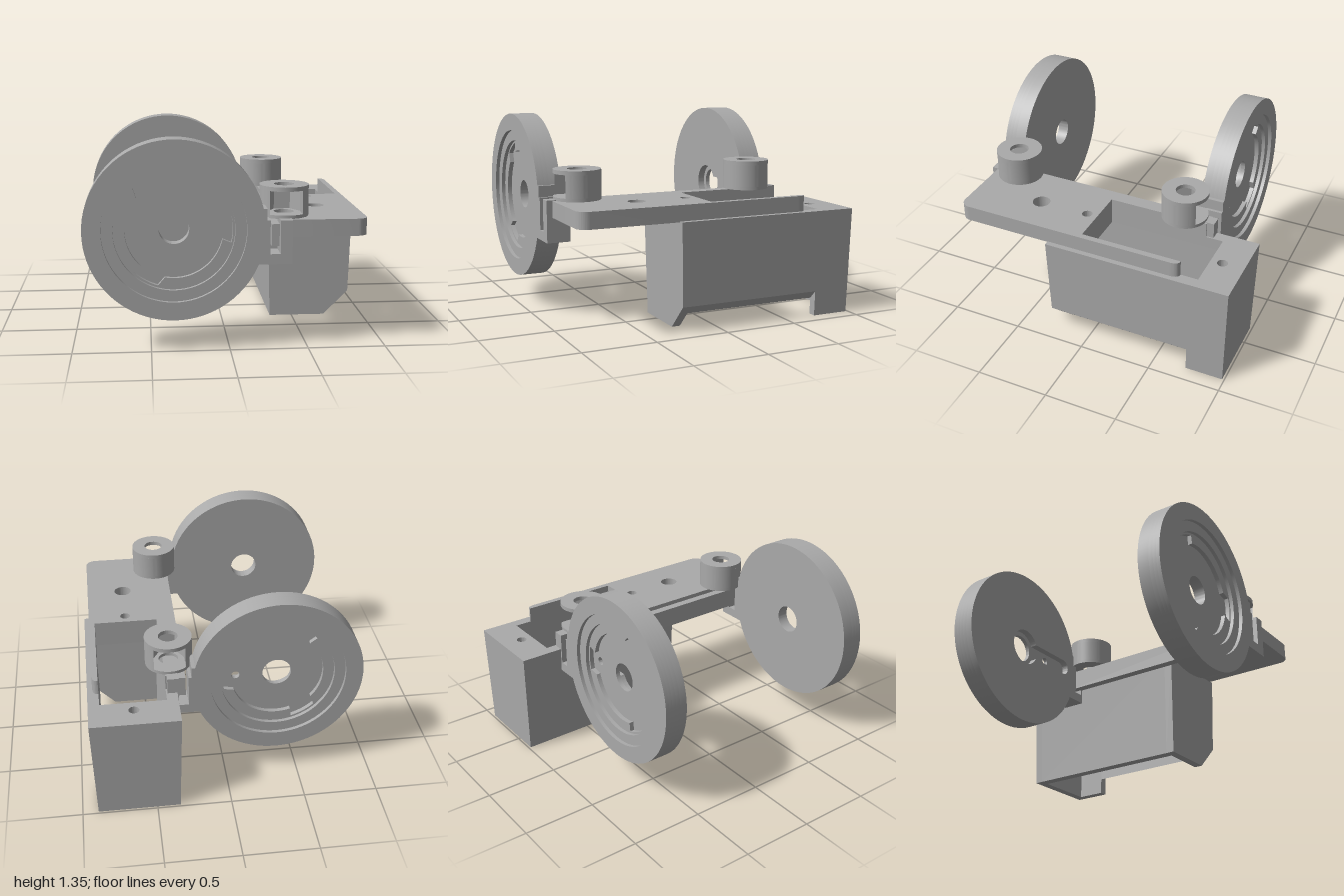
import * as THREE from 'three';
import { toCreasedNormals } from 'three/addons/utils/BufferGeometryUtils.js';

const gray = new THREE.MeshStandardMaterial({ color: 0xaaaaaa });
gray.name = 'plain gray';

function polygon(points) {
  return new THREE.Shape(points.map(([x, y]) => new THREE.Vector2(x, y)));
}

function circle(x, y, r, Type = THREE.Path) {
  const path = new Type();
  path.absarc(x, y, r, 0, Math.PI * 2, false);
  return path;
}

function rectangle(x0, y0, x1, y1) {
  return polygon([[x0, y0], [x1, y0], [x1, y1], [x0, y1]]);
}

// Extrude along z, starting at z0
function extrude(shape, z0, depth, holes = []) {
  shape.holes.push(...holes);
  const g = new THREE.ExtrudeGeometry(shape, { depth, bevelEnabled: false, curveSegments: 40 });
  g.translate(0, 0, z0);
  return g;
}

// Extrude upward from y0; the shape is drawn in (x, -z)
function extrudeUp(shape, y0, height, holes = []) {
  return extrude(shape, 0, height, holes).rotateX(-Math.PI / 2).translate(0, y0, 0);
}

function add(parent, name, geometry) {
  const mesh = new THREE.Mesh(toCreasedNormals(geometry, 0.4), gray);
  mesh.name = name;
  parent.add(mesh);
  return mesh;
}

// Bayonet opening: a circle with three wider notches
function bayonetOpening() {
  const path = new THREE.Path();
  for (let i = 0; i < 3; i++) {
    const a = i * Math.PI * 2 / 3;
    path.absarc(0, 0, 0.37, a - 0.24, a + 0.24, false);
    path.absarc(0, 0, 0.31, a + 0.33, a + Math.PI * 2 / 3 - 0.21, false);
  }
  path.closePath();
  return path;
}

// Keyhole recess: round pocket joined to a narrow channel
function keyhole() {
  const path = new THREE.Path();
  path.absarc(0, 0, 0.13, 0.45, Math.PI * 2 - 0.45, false);
  path.lineTo(0.44, -0.056);
  path.absarc(0.44, 0, 0.056, -Math.PI / 2, Math.PI / 2, false);
  path.closePath();
  return path;
}

// Stepped disc, its recess open toward +z
function createDisc(name, withChannel) {
  const group = new THREE.Group();
  group.name = name;
  const R = 0.572;
  const layer = (label, z0, z1, holes) =>
    add(group, label, extrude(circle(0, 0, R, THREE.Shape), z0, z1 - z0, holes));
  if (withChannel) {
    layer('channelLayer', 0, 0.05, [keyhole()]);
    layer('discBase', 0.05, 0.08, [circle(0, 0, 0.097), circle(0.28, 0, 0.028)]);
  } else {
    layer('discBase', 0, 0.08, [circle(0, 0, 0.097)]);
  }
  layer('bayonetLip', 0.08, 0.11, [bayonetOpening()]);
  layer('innerStep', 0.11, 0.135, [circle(0, 0, 0.383)]);
  layer('outerRim', 0.135, 0.16, [circle(0, 0, 0.455)]);
  return group;
}

// Screw boss with a nut slot open toward +z
function createBoss(name) {
  const group = new THREE.Group();
  group.name = name;
  const r = 0.158, h = 0.105, a = Math.asin(h / r);
  const ring = () => circle(0, 0, r, THREE.Shape);
  add(group, 'bossFloor', extrudeUp(ring(), 0.83, 0.022, [circle(0, 0, 0.065)]));
  add(group, 'bossCap', extrudeUp(ring(), 1.003, 0.027, [circle(0, 0, 0.065)]));
  const wall = new THREE.Shape();
  wall.absarc(0, 0, r, -Math.PI / 2 + a, Math.PI * 1.5 - a, false);
  wall.lineTo(-h, 0);
  wall.lineTo(-h / 2, 0.091);
  wall.lineTo(h / 2, 0.091);
  wall.lineTo(h, 0);
  add(group, 'nutSlotWall', extrudeUp(wall, 0.852, 0.151));
  return group;
}

// Narrow the housing slightly toward its base
function taper(g) {
  const p = g.attributes.position;
  for (let i = 0; i < p.count; i++) {
    const t = 1 - p.getY(i) / 0.725;
    p.setX(i, 0.62 + (p.getX(i) - 0.62) * (1 - 0.068 * t));
    p.setZ(i, -0.3575 + (p.getZ(i) + 0.3575) * (1 - 0.023 * t));
  }
  return g;
}

function createHousing() {
  const group = new THREE.Group();
  group.name = 'housing';
  const wall = (name, shape, z0, z1) => add(group, name, taper(extrude(shape, z0, z1 - z0)));
  const top = 0.725;
  wall('frontWall', polygon([[0.325, 0], [0.738, 0], [0.915, 0.17], [0.915, top], [0.325, top]]), 0.225, 0.285);
  wall('innerWall', rectangle(0.325, 0, 0.395, top), -0.94, 0.225);
  wall('outerWall', polygon([[0.855, 0.112], [0.915, 0.17], [0.915, top], [0.855, top]]), -0.735, 0.225);
  wall('outerWallRear', rectangle(0.855, 0, 0.915, top), -0.94, -0.735);
  wall('backWall', rectangle(0.325, 0, 0.915, top), -1, -0.94);
  // Roof with the large opening and two screw holes
  add(group, 'roof', extrudeUp(rectangle(0.33, -0.28, 0.91, 0.995), 0.645, 0.08, [
    rectangle(0.4, -0.045, 0.84, 0.77),
    circle(0.62, 0.85, 0.035), circle(0.62, -0.12, 0.035),
  ]));
  return group;
}

// Deck plate, U-shaped behind the opening
function createDeck() {
  const s = new THREE.Shape();
  s.moveTo(0.32, -0.96);
  s.lineTo(0.81, -0.96);
  s.absarc(0.81, -0.89, 0.07, -Math.PI / 2, 0, false);
  s.lineTo(0.88, 0.59);
  s.quadraticCurveTo(0.88, 0.65, 0.84, 0.65);
  s.lineTo(0.84, -0.045);
  s.lineTo(0.4, -0.045);
  s.lineTo(0.4, 0.65);
  s.lineTo(0.32, 0.65);
  s.closePath();
  return extrudeUp(s, 0.72, 0.11, [circle(0.62, -0.12, 0.035), circle(0.62, -0.47, 0.06)]);
}

export function createModel() {
  const model = new THREE.Group();
  model.name = 'discMount';

  model.add(createHousing());
  add(model, 'deckPlate', createDeck());
  add(model, 'sideRail', new THREE.BoxGeometry(0.06, 0.14, 1.59).translate(0.295, 0.73, 0.15));

  // Discs: recesses face outward at both ends
  const frontDisc = createDisc('frontDisc', false);
  frontDisc.position.set(-0.35, 0.775, 0.84);
  const backDisc = createDisc('backDisc', true);
  backDisc.position.set(-0.35, 0.775, -0.54);
  backDisc.rotation.x = Math.PI;
  model.add(frontDisc, backDisc);

  // Forked arms joining the discs to the rail
  for (const [name, z] of [['frontArm', 0.84], ['backArm', -0.7]]) {
    add(model, name, extrude(polygon([
      [0.15, 0.555], [0.39, 0.555], [0.39, 0.835], [0.315, 0.835], [0.315, 0.62],
      [0.25, 0.62], [0.25, 0.835], [0.23, 0.835], [0.23, 0.91], [0.17, 0.91], [0.15, 0.8],
    ]), z, 0.16));
  }

  // Screw bosses: nut slots face outward
  const frontBoss = createBoss('frontBoss');
  frontBoss.position.set(0.362, 0, 0.78);
  const backBoss = createBoss('backBoss');
  backBoss.position.set(0.362, 0, -0.48);
  backBoss.rotation.y = Math.PI;
  model.add(frontBoss, backBoss);

  return model;
}
